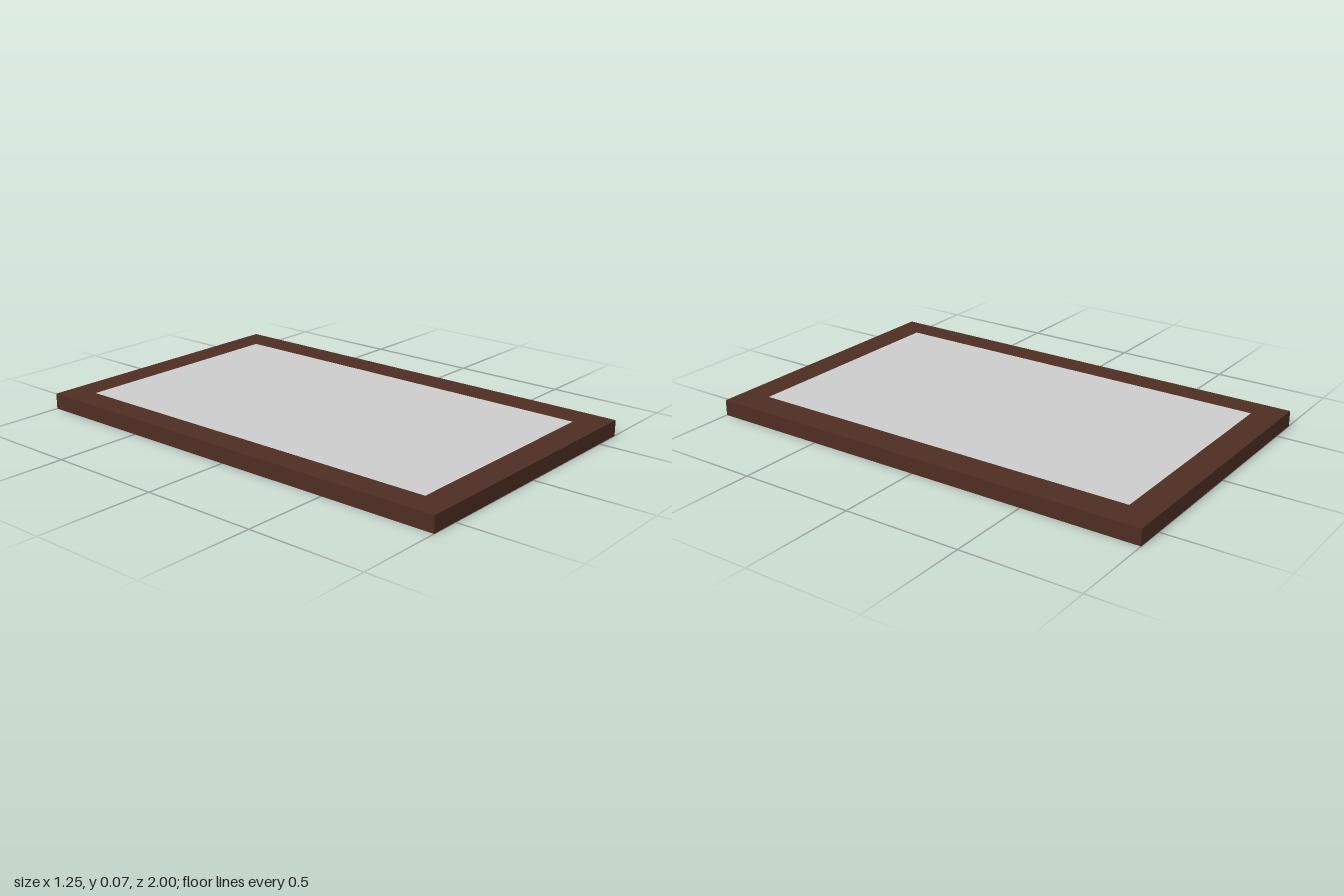
import * as THREE from 'three';

export function createModel() {
  const group = new THREE.Group();
  const wood = new THREE.MeshStandardMaterial({ color: 0x4e2d23 });
  wood.name = 'dark brown wood';
  const pane = new THREE.MeshStandardMaterial({ color: 0xcccccc });
  pane.name = 'light grey pane';

  const height = 0.068;
  // opening sits slightly off centre in x
  const left = 0.495, right = -0.51, end = 0.877;

  const rectangle = (Type, x0, x1, z) => new Type([
    new THREE.Vector2(x0, -z), new THREE.Vector2(x1, -z),
    new THREE.Vector2(x1, z), new THREE.Vector2(x0, z),
  ]);

  // Rectangular frame with a through opening, laid flat
  const outline = rectangle(THREE.Shape, -0.625, 0.625, 1);
  outline.holes.push(rectangle(THREE.Path, right, left, end));
  const frameGeometry = new THREE.ExtrudeGeometry(outline, { depth: height, bevelEnabled: false });
  frameGeometry.rotateX(-Math.PI / 2);
  const frame = new THREE.Mesh(frameGeometry, wood);
  frame.name = 'frame';
  group.add(frame);

  // Thin pane flush with the top, leaving a recess underneath
  const thickness = 0.006;
  const panel = new THREE.Mesh(new THREE.BoxGeometry(left - right, thickness, end * 2), pane);
  panel.position.set((left + right) / 2, height - thickness / 2, 0);
  panel.name = 'pane';
  group.add(panel);

  return group;
}
